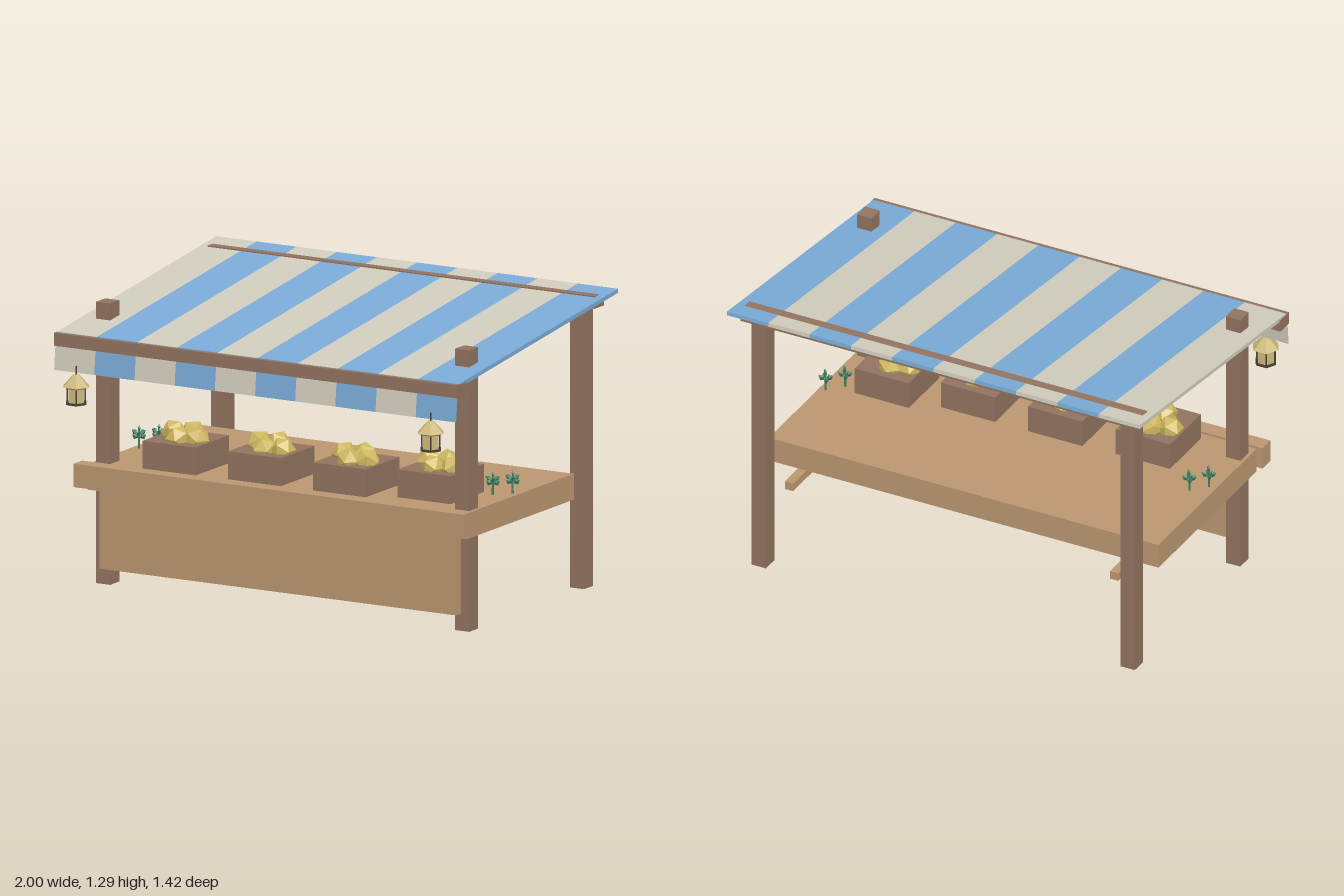
import * as THREE from 'three';

const mat = (name, color, flat = false) => {
  const m = new THREE.MeshStandardMaterial({ color, flatShading: flat });
  m.name = name;
  return m;
};

export function createModel() {
  const wood = mat('dark wood', 0x91735f);
  const plank = mat('light wood', 0xba9670);
  const blue = mat('blue cloth', 0x7aaad6);
  const cream = mat('cream cloth', 0xd0ccbc);
  const gold = mat('golden produce', 0xcdb75f, true);
  const glow = mat('lantern glass', 0xcdb87c, true);
  const iron = mat('lantern iron', 0x4a3f30, true);
  const green = mat('herb green', 0x3f8060, true);

  const model = new THREE.Group();
  model.name = 'marketStall';

  const add = (parent, name, geo, material, x = 0, y = 0, z = 0) => {
    const mesh = new THREE.Mesh(geo, material);
    mesh.name = name;
    mesh.position.set(x, y, z);
    parent.add(mesh);
    return mesh;
  };
  // Box given by its low and high limits on each axis
  const box = (name, material, [x0, x1], [y0, y1], [z0, z1]) =>
    add(model, name, new THREE.BoxGeometry(x1 - x0, y1 - y0, z1 - z0), material,
      (x0 + x1) / 2, (y0 + y1) / 2, (z0 + z1) / 2);

  // Posts and the rails under the counter
  for (const s of [-1, 1]) {
    const px = s * 0.89;
    box('frontPost', wood, [px - 0.035, px + 0.035], [0, 1.23], [0.338, 0.414]);
    box('backPost', wood, [px - 0.035, px + 0.035], [0, 1.23], [-0.622, -0.546]);
    const rx = s * 0.785;
    box('sideRail', plank, [rx - 0.02, rx + 0.02], [0.37, 0.407], [-0.545, 0.34]);
  }

  // Roof beams
  box('frontBeam', wood, [-1, 1], [1.073, 1.129], [0.563, 0.641]);
  box('backBeam', wood, [-0.96, 0.96], [1.224, 1.279], [-0.655, -0.575]);

  // Counter
  box('counterTop', plank, [-0.94, 0.94], [0.415, 0.528], [-0.435, 0.458]);
  box('counterLedge', plank, [-0.968, 0.968], [0.437, 0.539], [0.458, 0.53]);
  box('frontPanel', plank, [-0.885, 0.885], [0.075, 0.415], [0.415, 0.454]);

  // Sloping striped awning and its hanging front flap
  const stripes = (name, depth, thick) => {
    const g = new THREE.Group();
    g.name = name;
    for (let i = 0; i < 10; i++) {
      add(g, name + 'Stripe', new THREE.BoxGeometry(0.1992, thick, depth),
        i % 2 ? blue : cream, -0.8964 + i * 0.1992);
    }
    model.add(g);
    return g;
  };
  const awning = stripes('awning', 1.34, 0.018);
  awning.position.set(0, 1.2015, -0.045);
  awning.rotation.x = Math.atan(0.1195);
  const flap = stripes('awningFlap', 0.124, 0.003);
  flap.position.set(0, 1.03, 0.637);
  flap.rotation.x = Math.PI / 2 - 0.1;

  // Crates, each with four faceted pieces of produce
  const fruitGeo = new THREE.IcosahedronGeometry(0.058, 0);
  const heap = [[-0.078, -0.035], [0, 0.062], [0.078, 0.035], [0, -0.062]];
  [[-0.56, 0.28], [-0.142, 0.27], [0.279, 0.27], [0.658, 0.2]].forEach(([cx, cz], n) => {
    box('crate', wood, [cx - 0.131, cx + 0.131], [0.527, 0.65], [cz - 0.14, cz + 0.14]);
    heap.forEach(([dx, dz], i) => {
      const fruit = add(model, 'produce', fruitGeo, gold, cx + dx, 0.66, cz + dz);
      fruit.rotation.y = n * 0.5 + i * 1.3;
    });
  });

  // Small leafy herbs at both ends of the counter
  const stemGeo = new THREE.CylinderGeometry(0.004, 0.005, 0.09, 5);
  const leafGeo = new THREE.OctahedronGeometry(0.016, 0);
  const herb = (x, z) => {
    const g = new THREE.Group();
    g.name = 'herb';
    g.position.set(x, 0.528, z);
    add(g, 'herbStem', stemGeo, green, 0, 0.045, 0);
    for (let i = 0; i < 6; i++) {
      const a = i * Math.PI / 3;
      const leaf = add(g, 'herbLeaf', leafGeo, green,
        0.02 * Math.cos(a), 0.055 + 0.014 * (i % 2), 0.016 * Math.sin(a));
      leaf.scale.set(1.1, 0.9, 0.6);
      leaf.rotation.set(0, -a, 0.5);
    }
    const tip = add(g, 'herbTip', leafGeo, green, 0.004, 0.09, 0.004);
    tip.scale.set(0.5, 0.8, 0.5);
    model.add(g);
  };
  for (const [x, z] of [[0.85, 0.09], [0.91, 0.025], [-0.905, 0.09], [-0.845, 0.025]]) herb(x, z);

  // Six-sided hanging lanterns
  const hex = (r0, r1, h) => new THREE.CylinderGeometry(r0, r1, h, 6).rotateY(Math.PI / 6);
  for (const s of [-1, 1]) {
    const g = new THREE.Group();
    g.name = 'lantern';
    g.position.set(s * 0.879, 0, 0.657);
    add(g, 'lanternGlass', hex(0.039, 0.039, 0.086), glow, 0, 0.874, 0);
    add(g, 'lanternRoof', hex(0.012, 0.062, 0.052), glow, 0, 0.939, 0);
    add(g, 'lanternBase', hex(0.05, 0.05, 0.008), iron, 0, 0.84, 0);
    add(g, 'lanternCollar', hex(0.05, 0.05, 0.008), wood, 0, 0.91, 0);
    add(g, 'lanternHook', new THREE.CylinderGeometry(0.003, 0.003, 0.04, 6), iron, 0, 0.98, 0);
    for (let i = 0; i < 6; i++) {
      const a = i * Math.PI / 3;
      add(g, 'lanternBar', new THREE.CylinderGeometry(0.003, 0.003, 0.07, 5), iron,
        0.045 * Math.cos(a), 0.875, 0.045 * Math.sin(a));
    }
    model.add(g);
  }

  return model;
}
